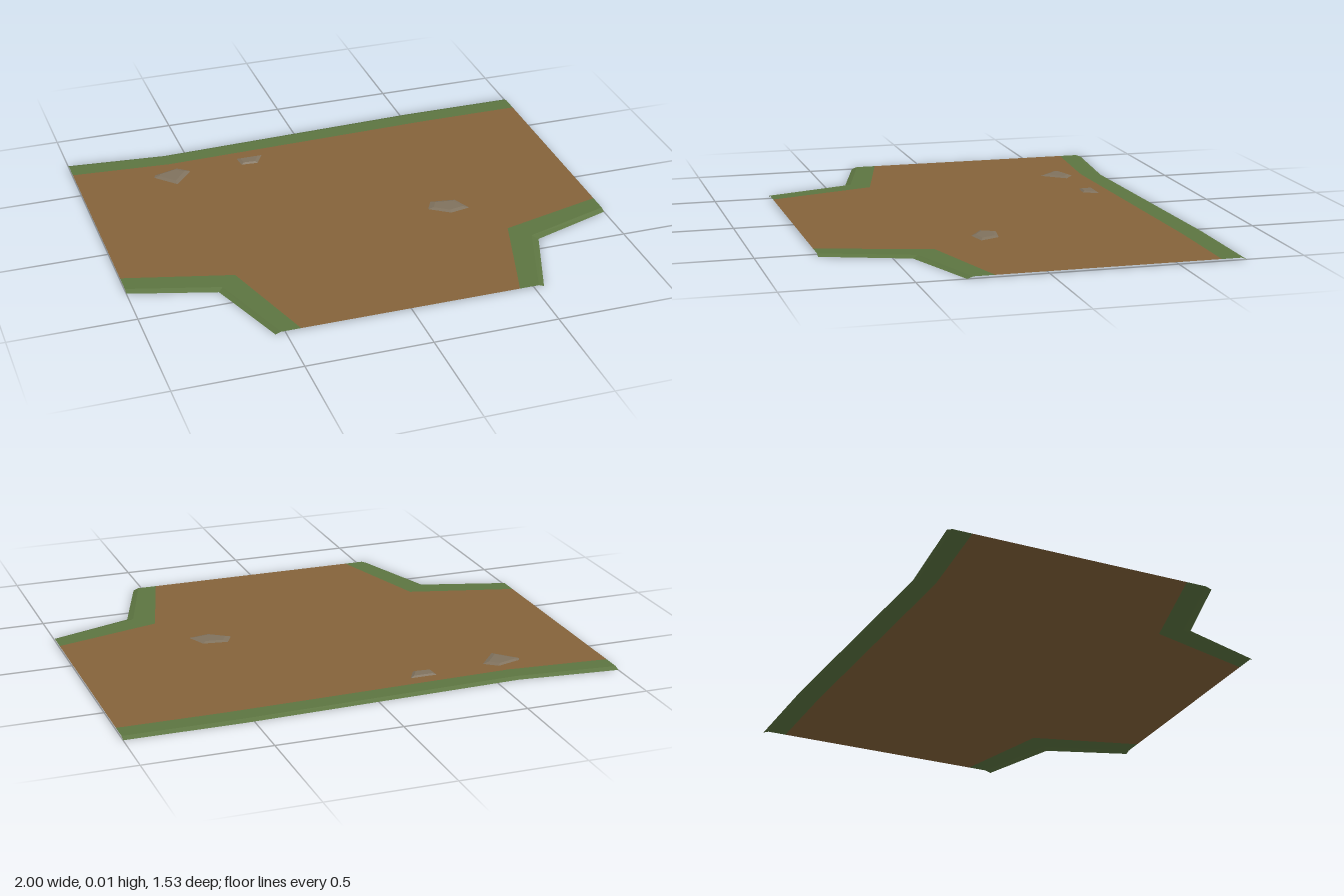
import * as THREE from 'three';

const TOP = 0.008;
const mat = (name, color) => {
  const m = new THREE.MeshStandardMaterial({ color, side: THREE.DoubleSide, flatShading: true });
  m.name = name;
  return m;
};

// Flat polygon from [x, z] points at height y
function flat(points, y) {
  const shape = new THREE.Shape(points.map(([x, z]) => new THREE.Vector2(x, -z)));
  return new THREE.ShapeGeometry(shape).rotateX(-Math.PI / 2).translate(0, y, 0);
}

// Surface joining neighbouring rows of [x, y, z] points, outermost row first
function loft(rows) {
  const n = rows[0].length, index = [];
  for (let r = 0; r < rows.length - 1; r++) {
    for (let i = 0; i < n - 1; i++) {
      const a = r * n + i, b = a + n;
      index.push(a, b, b + 1, a, b + 1, a + 1);
    }
  }
  const g = new THREE.BufferGeometry();
  g.setAttribute('position', new THREE.Float32BufferAttribute(rows.flat(2), 3));
  g.setIndex(index);
  g.computeVertexNormals();
  return g;
}

const at = (points, y) => points.map(([x, z]) => [x, y, z]);
const blend = (a, b, t) => a.map((p, i) => [p[0] + (b[i][0] - p[0]) * t, p[1] + (b[i][1] - p[1]) * t]);

export function createModel() {
  const group = new THREE.Group();
  const dirt = mat('dirt brown', 0x85633a);
  const grass = mat('grass green', 0x5d7541);
  const stone = mat('stone grey', 0x80725e);
  const add = (name, geometry, material, parent = group) => {
    const mesh = new THREE.Mesh(geometry, material);
    mesh.name = name;
    parent.add(mesh);
  };

  // Grass borders: outer and inner outlines
  const borders = {
    backGrass: {
      outer: [[-1, -0.77], [-0.59, -0.73], [0.53, -0.77], [1, -0.77]],
      inner: [[-1, -0.67], [-0.59, -0.637], [0.58, -0.67], [1, -0.67]],
    },
    leftGrass: {
      outer: [[1, 0.31], [0.66, 0.428], [0.54, 0.765]],
      inner: [[1, 0.205], [0.57, 0.322], [0.44, 0.765]],
    },
    rightGrass: {
      outer: [[-0.54, 0.765], [-0.66, 0.412], [-1, 0.31]],
      inner: [[-0.44, 0.765], [-0.57, 0.322], [-1, 0.205]],
    },
  };
  for (const [name, { outer, inner }] of Object.entries(borders)) {
    const crest = blend(outer, inner, 0.22);
    add(name, loft([at(outer, 0), at(crest, TOP), at(inner, TOP)]), grass);
  }

  // Dirt path filling the space between the borders
  const path = Object.values(borders).flatMap((b) => b.inner);
  add('dirtPath', flat(path, TOP), dirt);

  // Low faceted stones set in the path
  const stones = [
    [[-0.67, -0.56], [-0.57, -0.59], [-0.52, -0.55], [-0.6, -0.455], [-0.68, -0.54]],
    [[-0.305, -0.592], [-0.195, -0.592], [-0.23, -0.53], [-0.3, -0.535]],
    [[0.35, 0.02], [0.45, 0.035], [0.485, 0.115], [0.4, 0.132], [0.32, 0.075]],
  ];
  stones.forEach((base, i) => {
    const c = [0, 1].map((k) => base.reduce((s, p) => s + p[k], 0) / base.length);
    const top = blend(base, base.map(() => c), 0.3);
    const ring = (pts, y) => at([...pts, pts[0]], y);
    const rock = new THREE.Group();
    rock.name = `stone${i + 1}`;
    add('stoneSides', loft([ring(base, TOP), ring(top, TOP + 0.005)]), stone, rock);
    add('stoneTop', flat(top, TOP + 0.005), stone, rock);
    group.add(rock);
  });

  return group;
}
